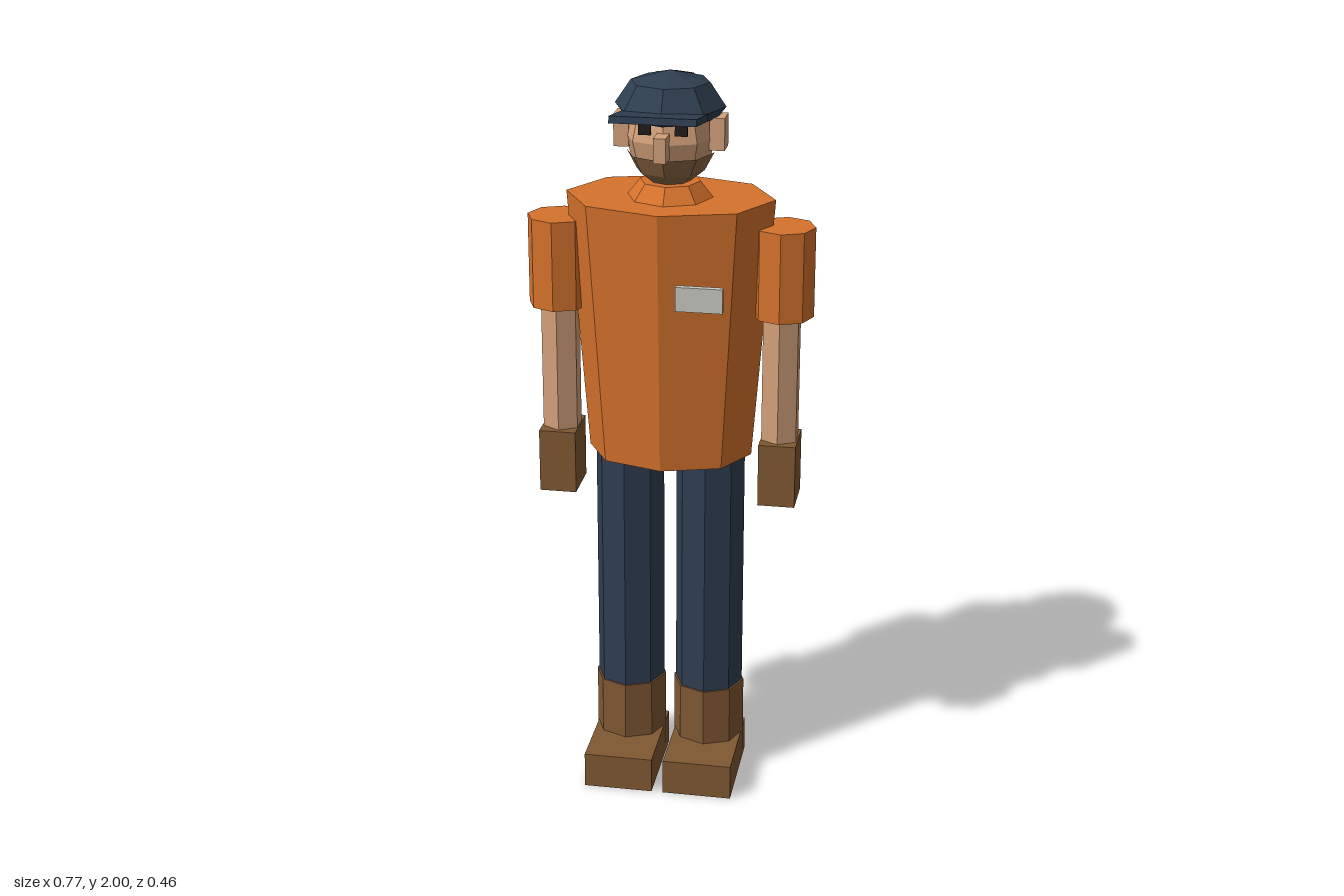
import * as THREE from 'three';

const mat = (name, color) => {
  const m = new THREE.MeshStandardMaterial({ color, flatShading: true });
  m.name = name;
  return m;
};

export function createModel() {
  const orange = mat('orange shirt', 0xd5722c);
  const navy = mat('navy cloth', 0x2f3e50);
  const skin = mat('skin', 0xd3a07a);
  const brown = mat('brown leather', 0x805833);
  const hairMat = mat('dark hair', 0x3a2a20);
  const beardMat = mat('stubble', 0x8f6846);
  const grey = mat('badge grey', 0xc8c8c0);
  const dark = mat('eye dark', 0x231c1c);
  hairMat.side = beardMat.side = THREE.DoubleSide;

  const model = new THREE.Group();
  model.name = 'worker';
  const Z = -0.03; // body axis

  const add = (name, geo, material, x, y, z) => {
    const mesh = new THREE.Mesh(geo, material);
    mesh.name = name;
    mesh.position.set(x, y, z);
    model.add(mesh);
    return mesh;
  };
  // Box given by its extents
  const box = (name, material, x0, x1, y0, y1, z0, z1) =>
    add(name, new THREE.BoxGeometry(x1 - x0, y1 - y0, z1 - z0), material,
      (x0 + x1) / 2, (y0 + y1) / 2, (z0 + z1) / 2);
  // Upright faceted column between two heights
  const column = (name, material, x, y0, y1, r0, r1, sides = 8) =>
    add(name, new THREE.CylinderGeometry(r1, r0, y1 - y0, sides), material, x, (y0 + y1) / 2, Z);

  // Torso and collar
  column('torso', orange, 0, 0.955, 1.67, 0.222, 0.277).scale.z = 0.722;
  column('collar', orange, 0, 1.665, 1.712, 0.117, 0.08);
  box('badge', grey, 0.05, 0.172, 1.425, 1.49, 0.167, 0.184);

  // Arms and legs
  for (const [side, s] of [['left', 1], ['right', -1]]) {
    column(side + 'Sleeve', orange, s * 0.301, 1.358, 1.602, 0.082, 0.082);
    column(side + 'Forearm', skin, s * 0.299, 0.98, 1.4, 0.054, 0.054, 6);
    const hx = s * 0.3;
    box(side + 'Glove', brown, hx - 0.05, hx + 0.05, 0.835, 1.01, -0.097, 0.037);

    column(side + 'Leg', navy, s * 0.111, 0.2, 0.96, 0.094, 0.094);
    column(side + 'BootShaft', brown, s * 0.111, 0.04, 0.265, 0.099, 0.099);
    const fx = s * 0.111;
    box(side + 'Boot', brown, fx - 0.095, fx + 0.095, 0, 0.1, -0.1, 0.182);

    // Face details on each side
    const ex = s * 0.047;
    box(side + 'Eye', dark, ex - 0.016, ex + 0.016, 1.856, 1.886, 0.075, 0.084);
    const rx = s * 0.125;
    box(side + 'Ear', skin, rx - 0.02, rx + 0.02, 1.8, 1.885, -0.067, -0.005);
  }

  // Head, stubble over the lower front, hair over the back
  add('head', new THREE.SphereGeometry(0.118, 8, 6), skin, 0, 1.83, Z).scale.y = 1.1;
  add('stubble', new THREE.SphereGeometry(0.121, 4, 3, 0, Math.PI, Math.PI * 0.6, Math.PI * 0.4),
    beardMat, 0, 1.83, Z).scale.y = 1.1;
  box('nose', skin, -0.016, 0.016, 1.795, 1.86, 0.06, 0.13);
  add('hair', new THREE.SphereGeometry(0.135, 4, 5, Math.PI, Math.PI, Math.PI / 6, Math.PI * 5 / 6),
    hairMat, 0, 1.864, -0.056).scale.y = 0.97;

  // Cap dome and upturned brim
  const profile = [[0.1, 1.88], [0.122, 1.88], [0.145, 1.91], [0.103, 1.972], [0, 2]]
    .map(([r, y]) => new THREE.Vector2(r, y));
  add('capDome', new THREE.LatheGeometry(profile, 8), navy, 0, 0, Z);
  const brim = add('capBrim', new THREE.BoxGeometry(0.22, 0.018, 0.17), navy, 0, 1.915, 0.143);
  brim.rotation.x = -0.16;

  return model;
}
